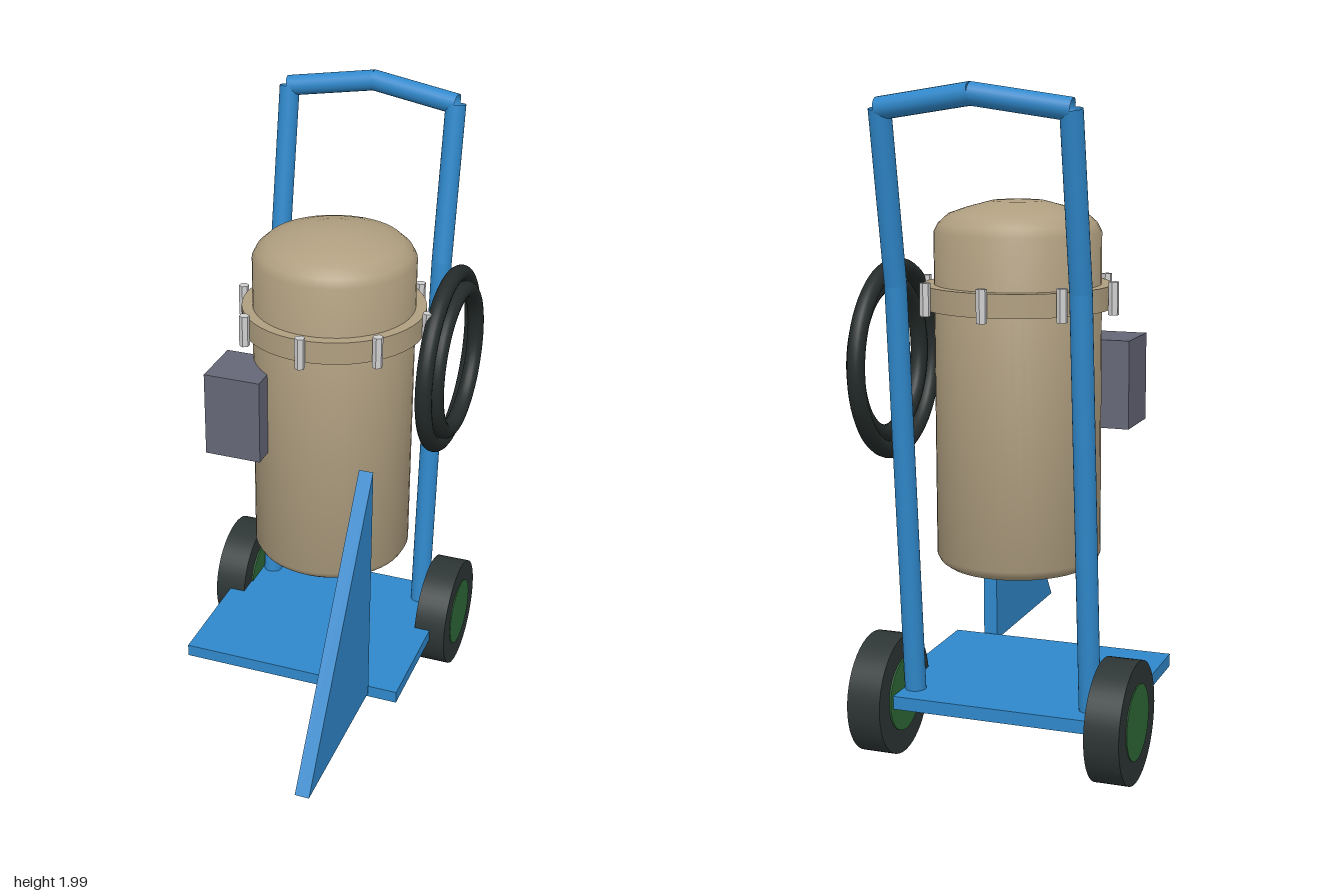
import * as THREE from 'three';
import { toCreasedNormals } from 'three/addons/utils/BufferGeometryUtils.js';

const mat = (name, color, side = THREE.FrontSide) => {
  const m = new THREE.MeshStandardMaterial({ color, side });
  m.name = name;
  return m;
};

export function createModel() {
  const group = new THREE.Group();
  const blue = mat('blue paint', 0x2f88cb, THREE.DoubleSide);
  const tan = mat('tan enamel', 0xb09f80);
  const rubber = mat('tyre rubber', 0x2d3535);
  const hoseBlack = mat('hose black', 0x242b2a);
  const green = mat('green hub', 0x2f6a38);
  const grey = mat('slate grey', 0x656777);
  const steel = mat('light steel', 0xcfcfcf);

  const add = (name, geometry, material, x = 0, y = 0, z = 0) => {
    const mesh = new THREE.Mesh(geometry, material);
    mesh.name = name;
    mesh.position.set(x, y, z);
    group.add(mesh);
    return mesh;
  };
  const lathe = (pts) => toCreasedNormals(
    new THREE.LatheGeometry(pts.map(([r, y]) => new THREE.Vector2(r, y)), 48), 0.6);

  // Hollow pipe between two points
  const pipe = (name, a, b, r = 0.032) => {
    const from = new THREE.Vector3(...a), to = new THREE.Vector3(...b);
    const dir = to.clone().sub(from);
    const mesh = add(name, new THREE.CylinderGeometry(r, r, dir.length() + 0.006, 24, 1, true), blue);
    mesh.position.copy(from).add(to).multiplyScalar(0.5);
    mesh.quaternion.setFromUnitVectors(new THREE.Vector3(0, 1, 0), dir.normalize());
  };

  // Trolley base
  add('basePlate', new THREE.BoxGeometry(0.73, 0.04, 0.638), blue, 0, 0.185, -0.202);

  // Bent uprights, handle halves and wheels on both sides
  for (const s of [-1, 1]) {
    const side = s > 0 ? 'left' : 'right';
    pipe(side + 'LowerUpright', [s * 0.275, 0.19, -0.43], [s * 0.275, 1.43, -0.525]);
    pipe(side + 'UpperUpright', [s * 0.275, 1.43, -0.525], [s * 0.275, 1.92, -0.61]);
    pipe(side + 'HandleHalf', [s * 0.275, 1.922, -0.612], [0, 1.962, -0.634]);

    const tyre = add(side + 'Tyre', new THREE.CylinderGeometry(0.181, 0.181, 0.104, 48), rubber, s * 0.365, 0.181, -0.427);
    const hub = add(side + 'Hub', new THREE.CylinderGeometry(0.112, 0.112, 0.112, 40), green, s * 0.364, 0.183, -0.427);
    tyre.rotation.z = hub.rotation.z = Math.PI / 2;
  }

  // Triangular front support fin
  const fin = new THREE.Shape([[-0.125, 0.185], [-0.125, 1.005], [-0.67, 0.185]].map(p => new THREE.Vector2(...p)));
  const finMesh = add('supportFin', new THREE.ExtrudeGeometry(fin, { depth: 0.045, bevelEnabled: false }), blue, 0.228, 0, 0);
  finMesh.rotation.y = Math.PI / 2;

  // Pressure vessel with bevelled base and domed lid
  const cx = 0.045, cz = -0.154;
  add('tank', lathe([
    [0, 0.55], [0.222, 0.55], [0.24, 0.563], [0.25, 0.582], [0.25, 1.56], [0.237, 1.585],
    [0.207, 1.612], [0.155, 1.63], [0.08, 1.65], [0, 1.655],
  ]), tan, cx, 0, cz);
  add('flange', lathe([[0.245, 1.335], [0.283, 1.335], [0.283, 1.405], [0.245, 1.405]]), tan, cx, 0, cz);

  // Flange bolts
  for (let i = 0; i < 8; i++) {
    const a = i * Math.PI / 4;
    add('flangeBolt', toCreasedNormals(new THREE.CylinderGeometry(0.016, 0.016, 0.098, 6), 0.5), steel,
      cx + 0.298 * Math.cos(a), 1.371, cz + 0.298 * Math.sin(a));
  }

  // Control box
  add('controlBox', new THREE.BoxGeometry(0.18, 0.27, 0.185), grey, -0.185, 1.098, 0.028);

  // Coiled hose loops
  for (const [name, R, x] of [['outerHoseLoop', 0.272, 0.365], ['innerHoseLoop', 0.225, 0.389]]) {
    const loop = add(name, new THREE.TorusGeometry(R, 0.026, 16, 64), hoseBlack, x, 1.189, -0.335);
    loop.rotation.y = Math.PI / 2;
  }

  return group;
}
